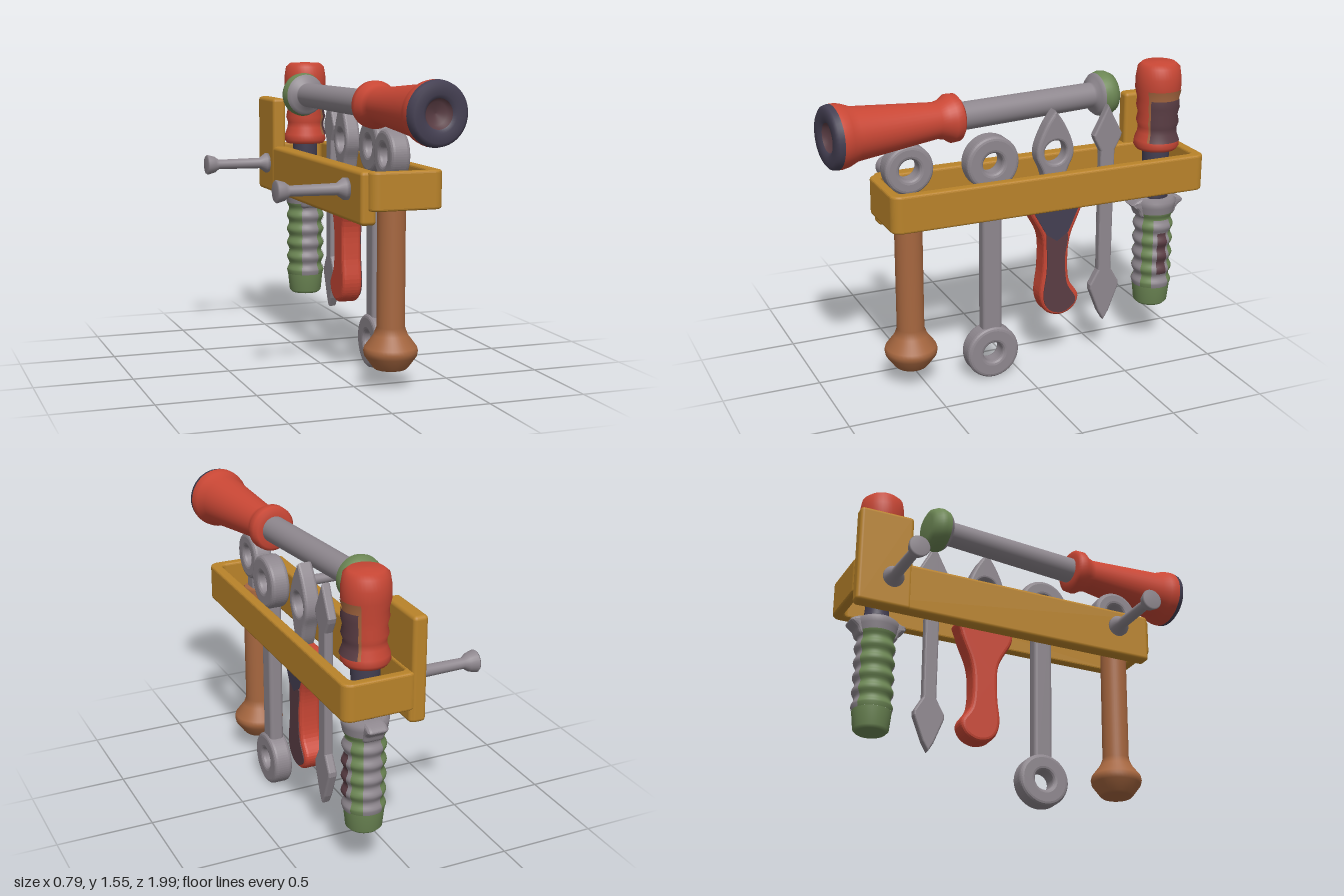
import * as THREE from 'three';
import { RoundedBoxGeometry } from 'three/addons/geometries/RoundedBoxGeometry.js';

const mat = (name, color) => {
  const m = new THREE.MeshStandardMaterial({ color });
  m.name = name;
  return m;
};

export function createModel() {
  const root = new THREE.Group();
  root.name = 'toolRack';
  const gold = mat('gold', 0xb9832a), grey = mat('steel grey', 0x8e878e);
  const red = mat('red', 0xc94735), brown = mat('brown', 0xa5663f);
  const navy = mat('navy', 0x443f52), green = mat('green', 0x6c8654);
  const maroon = mat('maroon', 0x5a3d44);

  const group = (name, parent = root) => {
    const g = new THREE.Group();
    g.name = name;
    parent.add(g);
    return g;
  };
  const add = (name, geo, material, parent = root) => {
    const m = new THREE.Mesh(geo, material);
    m.name = name;
    parent.add(m);
    return m;
  };
  const V = (pts) => pts.map(([x, y]) => new THREE.Vector2(x, y));
  const lathe = (pts, start = 0, len = Math.PI * 2, seg = 40) => new THREE.LatheGeometry(V(pts), seg, start, len);

  // Flat part drawn in (z, y) and thickened along x, centred on x
  const slab = (shape, thick, x, bevel = 0.015) => {
    const geo = new THREE.ExtrudeGeometry(shape, {
      depth: thick - 2 * bevel, bevelEnabled: bevel > 0, bevelSize: bevel, bevelThickness: bevel,
      bevelOffset: -bevel, bevelSegments: 3, curveSegments: 32,
    });
    geo.translate(0, 0, -thick / 2 + bevel);
    geo.rotateY(Math.PI / 2);
    geo.translate(x, 0, 0);
    return geo;
  };
  const poly = (pts) => new THREE.Shape(V(pts.map(([z, y]) => [-z, y])));
  const smooth = (pts) => new THREE.Shape(new THREE.SplineCurve(V([...pts, pts[0]].map(([z, y]) => [-z, y]))).getPoints(80));
  const hole = (shape, z, y, r) => {
    const p = new THREE.Path();
    p.absarc(-z, y, r, 0, Math.PI * 2, true);
    shape.holes.push(p);
    return shape;
  };
  const disc = (z, y, r, inner) => {
    const s = new THREE.Shape();
    s.absarc(-z, y, r, 0, Math.PI * 2, false);
    return hole(s, z, y, inner);
  };
  const box = (w, h, d, x, y, z, r = 0.02) => new RoundedBoxGeometry(w, h, d, 3, r).translate(x, y, z);

  // Rack: back board, post and looped rail
  const rack = group('rack');
  add('backBoard', box(0.08, 0.26, 1.66, 0.01, 0.96, -0.16), gold, rack);
  add('post', box(0.075, 0.53, 0.29, 0.004, 1.095, -0.85), gold, rack);
  const roundRect = (Type, x0, x1, z0, z1, r) => {
    const s = new Type();
    s.absarc(x1 - r, -z0 - r, r, 0, Math.PI / 2);
    s.absarc(x0 + r, -z0 - r, r, Math.PI / 2, Math.PI);
    s.absarc(x0 + r, -z1 + r, r, Math.PI, Math.PI * 1.5);
    s.absarc(x1 - r, -z1 + r, r, Math.PI * 1.5, Math.PI * 2);
    s.closePath();
    return s;
  };
  const loop = roundRect(THREE.Shape, 0.005, 0.385, -0.995, 0.71, 0.05);
  loop.holes.push(roundRect(THREE.Path, 0.05, 0.33, -0.945, 0.66, 0.03));
  const railGeo = new THREE.ExtrudeGeometry(loop, {
    depth: 0.166, bevelSize: 0.012, bevelThickness: 0.012, bevelOffset: -0.012, bevelSegments: 3,
  });
  railGeo.rotateX(-Math.PI / 2).translate(0, 0.912, 0);
  add('rail', railGeo, gold, rack);

  // Wall pegs
  for (const z of [-0.81, 0.48]) {
    const peg = add('peg', lathe([[0, 0], [0.055, 0], [0.055, 0.025], [0.03, 0.06], [0.027, 0.3], [0.045, 0.325],
      [0.056, 0.365], [0.05, 0.373], [0, 0.373]], 0, Math.PI * 2, 24), grey);
    peg.rotation.z = Math.PI / 2;
    peg.position.set(-0.025, 0.99, z);
  }

  // Long flared tool lying on top
  const horn = group('flaredTool');
  const tail = new THREE.Vector3(0.08, 1.392, -0.6), mouth = new THREE.Vector3(0.235, 1.377, 0.98);
  horn.position.copy(tail);
  horn.quaternion.setFromUnitVectors(new THREE.Vector3(0, 1, 0), mouth.sub(tail).normalize());
  add('endCap', lathe([[0, 0], [0.07, 0], [0.1, 0.015], [0.115, 0.045], [0.118, 0.07], [0.11, 0.1]]), green, horn);
  add('shaft', lathe([[0.11, 0.1], [0.095, 0.118], [0.065, 0.125], [0.065, 0.14], [0.07, 0.92]]), grey, horn);
  add('flare', lathe([[0.065, 0.895], [0.1, 0.895], [0.118, 0.91], [0.12, 0.95], [0.1, 0.98], [0.09, 1.02],
    [0.132, 1.45], [0.152, 1.5], [0.157, 1.53], [0.157, 1.55]]), red, horn);
  add('mouthRim', lathe([[0.157, 1.55], [0.152, 1.575], [0.135, 1.588], [0.09, 1.588], [0.072, 1.575]]), navy, horn);
  add('mouthRecess', lathe([[0.072, 1.575], [0.055, 1.55], [0, 1.54]]), maroon, horn);

  // Wooden handled tool with a ring
  const mallet = group('woodenTool');
  add('woodenHandle', lathe([[0, 0.1], [0.08, 0.1], [0.09, 0.11], [0.13, 0.165], [0.135, 0.19], [0.13, 0.21], [0.085, 0.27],
    [0.07, 0.31], [0.07, 0.97], [0.06, 0.98], [0, 0.98]]).translate(0.17, 0, 0.56), brown, mallet);
  add('ring', slab(disc(0.56, 1.157, 0.125, 0.052), 0.1, 0.17, 0.02), grey, mallet);
  add('neck', box(0.07, 0.12, 0.09, 0.17, 1.0, 0.56), grey, mallet);

  // Double ring wrench
  const wrench = group('wrench');
  add('lowerRing', slab(disc(0.155, 0.145, 0.14, 0.052), 0.1, 0.25, 0.02), grey, wrench);
  add('upperRing', slab(disc(0.155, 1.162, 0.138, 0.052), 0.1, 0.25, 0.02), grey, wrench);
  add('shank', box(0.075, 0.82, 0.105, 0.25, 0.655, 0.155), grey, wrench);

  // Curved grip tool with a leaf shaped head
  const trowel = group('gripTool');
  const leaf = smooth([[-0.2, 1.38], [-0.15, 1.31], [-0.105, 1.21], [-0.1, 1.14], [-0.13, 1.07], [-0.16, 0.98],
    [-0.2, 0.93], [-0.24, 0.98], [-0.27, 1.07], [-0.3, 1.14], [-0.295, 1.21], [-0.25, 1.31]]);
  add('leafHead', slab(hole(leaf, -0.2, 1.165, 0.06), 0.08, 0.22), grey, trowel);
  add('grip', slab(smooth([[-0.06, 0.95], [-0.05, 0.87], [-0.125, 0.72], [-0.13, 0.55], [-0.115, 0.4], [-0.15, 0.31],
    [-0.23, 0.28], [-0.305, 0.31], [-0.332, 0.38], [-0.28, 0.47], [-0.27, 0.6], [-0.285, 0.72], [-0.345, 0.87],
    [-0.34, 0.95]]), 0.11, 0.225, 0.02), red, trowel);
  add('upperInlay', slab(poly([[-0.075, 0.94], [-0.07, 0.87], [-0.143, 0.74], [-0.2, 0.7], [-0.262, 0.74], [-0.32, 0.87],
    [-0.32, 0.94]]), 0.008, 0.281, 0), navy, trowel);
  add('lowerInlay', slab(smooth([[-0.143, 0.74], [-0.147, 0.55], [-0.13, 0.4], [-0.16, 0.325], [-0.23, 0.298],
    [-0.29, 0.325], [-0.31, 0.37], [-0.26, 0.46], [-0.248, 0.6], [-0.262, 0.73], [-0.2, 0.71]]), 0.006, 0.281, 0), maroon, trowel);

  // Slim double pointed tool
  const half = [[0, 1.38], [0.03, 1.32], [0.08, 1.225], [0.072, 1.2], [0.04, 1.14], [0.037, 0.49], [0.083, 0.41],
    [0.083, 0.385], [0.03, 0.25], [0, 0.2]];
  const pointed = [...half, ...half.slice(1, -1).reverse().map(([z, y]) => [-z, y])];
  add('pointedTool', slab(poly(pointed.map(([z, y]) => [z - 0.49, y])).clone(), 0.046, 0.242, 0.01), grey);

  // Two handled tool: red top, ribbed green lower grip
  const driver = group('twoHandledTool');
  driver.position.set(0.19, 0, -0.81);
  const redProfile = [[0.06, 1.1], [0.105, 1.1], [0.118, 1.12], [0.115, 1.15], [0.1, 1.19], [0.098, 1.22], [0.108, 1.25],
    [0.1, 1.29], [0.11, 1.33], [0.106, 1.37], [0.118, 1.42], [0.117, 1.48], [0.108, 1.535], [0.085, 1.555], [0, 1.56]];
  add('topHandle', lathe(redProfile), red, driver);
  // Inlays are curved patches facing +x
  const patch = (name, pts, width, material) =>
    add(name, lathe(pts, Math.PI / 2 - width / 2, width, 16), material, driver);
  const lift = (pts, a, b, d) => pts.filter((p) => p[1] >= a && p[1] <= b).map(([r, y]) => [r + d, y]);
  patch('topInlayRim', lift(redProfile, 1.13, 1.43, 0.004), 1.85, brown);
  patch('topInlay', lift(redProfile, 1.15, 1.41, 0.008), 1.6, maroon);
  add('neck', lathe([[0, 0.8], [0.085, 0.8], [0.065, 0.86], [0.06, 0.92], [0.07, 1.04], [0.07, 1.11]]), navy, driver);

  const ribs = [[0.085, 0.34]];
  for (let i = 0; i <= 40; i++) {
    ribs.push([0.099 + 0.007 * Math.cos((i / 40) * Math.PI * 10), 0.36 + i * 0.01]);
  }
  ribs[0] = [0.1, 0.34];
  for (const s of [0, Math.PI]) {
    add('ribbedStrip', lathe(ribs, s - 0.5, 1, 12), grey, driver);
    add('ribbedSide', lathe(ribs, s + 0.5, Math.PI - 1, 24), green, driver);
  }
  add('gripEnd', lathe([[0, 0.23], [0.075, 0.23], [0.09, 0.245], [0.1, 0.34]]), green, driver);
  patch('gripInlayRim', ribs.filter((p) => p[1] < 0.73).map(([r, y]) => [r + 0.004, y]), 0.95, grey);
  patch('gripInlay', lift(ribs, 0.42, 0.65, 0.008), 0.5, maroon);
  add('collar', lathe([[0.106, 0.755], [0.113, 0.79], [0.118, 0.82], [0.1, 0.835], [0, 0.835]]), grey, driver);
  add('guard', slab(smooth([[0.15, 0.805], [0.1, 0.835], [0, 0.84], [-0.1, 0.835], [-0.15, 0.805], [-0.115, 0.77],
    [-0.09, 0.73], [0, 0.72], [0.09, 0.73], [0.115, 0.77]]), 0.11, 0, 0.02), grey, driver);

  return root;
}
